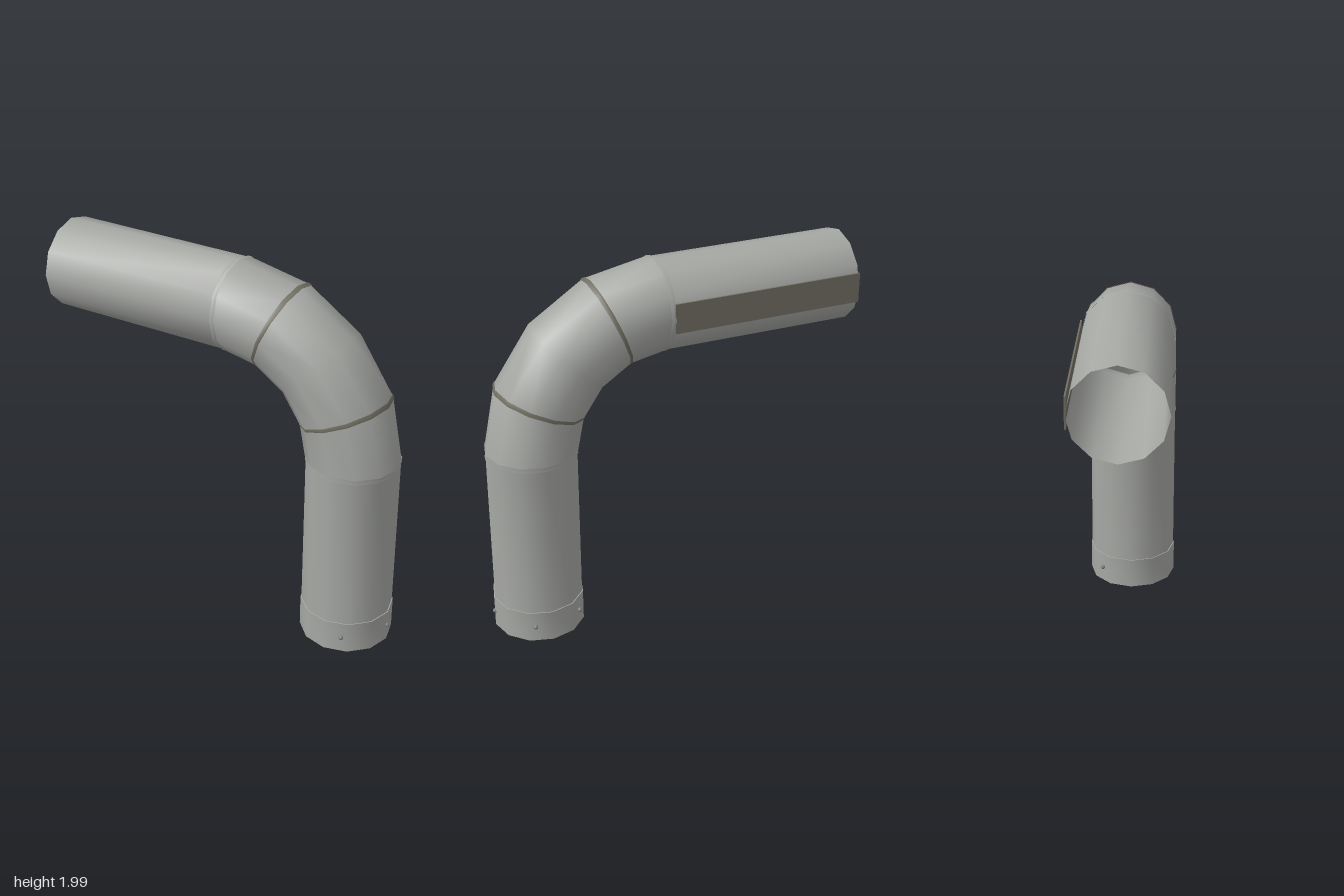
import * as THREE from 'three';

const SIDES = 12;
const R = 0.245;               // pipe radius
const BEND = 0.70;             // bend radius of the elbow centre line
const CX = 0.04, CY = 1.04;    // centre of the bend
const AXIS_X = CX + BEND, AXIS_Y = CY + BEND;
const rad = THREE.MathUtils.degToRad;

const steel = new THREE.MeshStandardMaterial({ color: 0xa6a8a4, side: THREE.DoubleSide });
steel.name = 'steel';
const sealant = new THREE.MeshStandardMaterial({ color: 0x716e62, side: THREE.DoubleSide });
sealant.name = 'sealant';
const rivetGrey = new THREE.MeshStandardMaterial({ color: 0x80817e });
rivetGrey.name = 'rivetGrey';

// Stations: x, y of the ring centre, turn angle in degrees, ring radius
const onBend = (deg, r) => [CX + BEND * Math.sin(rad(deg)), CY + BEND * Math.cos(rad(deg)), deg, r];
const onLevel = (x, r) => [x, AXIS_Y, 0, r];
const onDrop = (y, r) => [AXIS_X, y, 90, r];

// Open twelve-sided skin through the given rings
function duct(name, stations, material) {
  const pos = [], index = [];
  stations.forEach(([x, y, deg, r], i) => {
    const t = rad(deg);
    for (let j = 0; j < SIDES; j++) {
      const a = (j / SIDES) * Math.PI * 2;
      const out = r * Math.cos(a);
      pos.push(x + out * Math.sin(t), y + out * Math.cos(t), r * Math.sin(a));
      if (i < stations.length - 1) {
        const k = (j + 1) % SIDES, p = i * SIDES, q = p + SIDES;
        index.push(p + j, p + k, q + j, p + k, q + k, q + j);
      }
    }
  });
  const geo = new THREE.BufferGeometry();
  geo.setAttribute('position', new THREE.Float32BufferAttribute(pos, 3));
  geo.setIndex(index);
  geo.computeVertexNormals();
  const mesh = new THREE.Mesh(geo, material);
  mesh.name = name;
  return mesh;
}

export function createModel() {
  const model = new THREE.Group();
  model.name = 'stovePipe';

  // Straight runs and the segmented elbow
  model.add(duct('horizontalPipe', [onLevel(-1, 0.242), onLevel(0.05, 0.242)], steel));
  model.add(duct('elbow', [0, 22.5, 45, 67.5, 90].map((d) => onBend(d, R)), steel));
  model.add(duct('verticalPipe', [onDrop(1.05, 0.243), onDrop(0.1, 0.243)], steel));

  // Narrow lips where the elbow slips over the straight runs
  model.add(duct('upperLip', [onLevel(0.03, 0.247), onLevel(0.055, 0.247)], steel));
  model.add(duct('lowerLip', [onDrop(1.06, 0.247), onDrop(1.035, 0.247)], steel));

  // Sealed swivel joints of the elbow
  for (const d of [22.5, 67.5]) {
    const band = [onBend(d - 0.8, R + 0.002), onBend(d, R + 0.004), onBend(d + 0.8, R + 0.002)];
    model.add(duct(d < 45 ? 'upperJoint' : 'lowerJoint', band, sealant));
  }

  // Lap seam along the back of the horizontal pipe
  const seam = new THREE.Mesh(new THREE.BoxGeometry(1.035, 0.16, 0.009), sealant);
  seam.name = 'backSeam';
  seam.position.set(-0.4825, AXIS_Y + 0.007, -0.239);
  model.add(seam);

  // Bottom collar with a small step up to the pipe
  model.add(duct('bottomCollar', [onDrop(0.175, 0.248), onDrop(0, 0.248)], steel));
  model.add(duct('collarStep', [onDrop(0.175, 0.242), onDrop(0.175, 0.248)], steel));

  // Rivets around the collar
  for (const deg of [0, 68, -68, -136]) {
    const rivet = new THREE.Mesh(new THREE.SphereGeometry(0.013, 8, 6), rivetGrey);
    rivet.name = 'rivet';
    const a = rad(deg);
    rivet.position.set(AXIS_X + 0.247 * Math.cos(a), 0.09, 0.247 * Math.sin(a));
    model.add(rivet);
  }
  return model;
}
